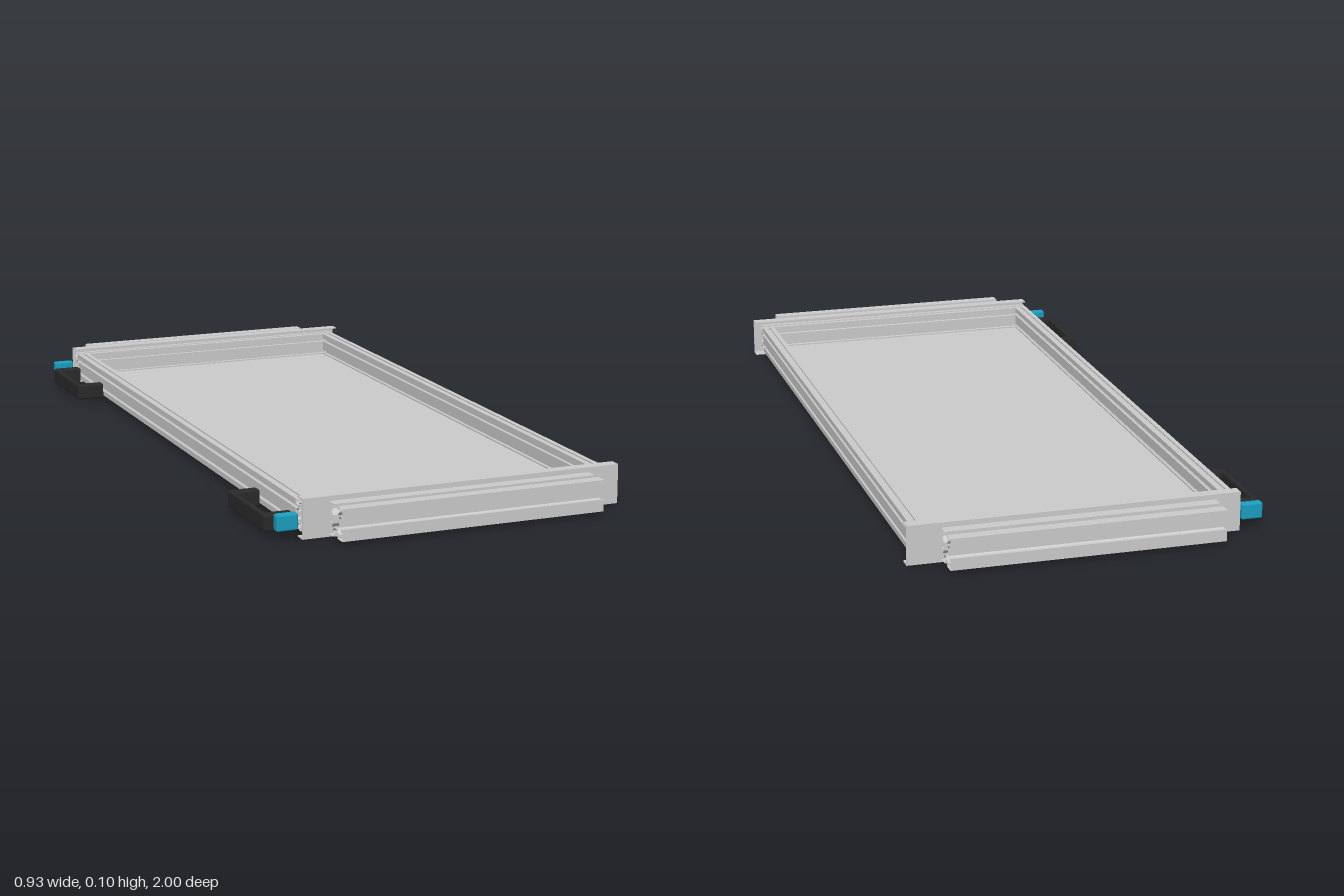
import * as THREE from 'three';
import { RoundedBoxGeometry } from 'three/addons/geometries/RoundedBoxGeometry.js';

const grey = new THREE.MeshStandardMaterial({ color: 0xcccccc, side: THREE.DoubleSide, flatShading: true });
const black = new THREE.MeshStandardMaterial({ color: 0x2a2a2a });
const blue = new THREE.MeshStandardMaterial({ color: 0x1a9fc0 });

// Half outline of one T-slot as [offset along side, depth], for a unit cell of 1
const SLOT = [[-0.125, 0], [-0.125, 0.1], [-0.25, 0.1], [-0.25, 0.16], [-0.13, 0.27]];

// Slotted profile of nx by ny square cells, centred on the origin
function slotProfile(cellX, cellY, nx, ny) {
  const w = cellX * nx, h = cellY * ny, pts = [];
  const sides = [
    { s: [-w / 2, -h / 2], d: [1, 0], n: nx, c: cellX },
    { s: [w / 2, -h / 2], d: [0, 1], n: ny, c: cellY },
    { s: [w / 2, h / 2], d: [-1, 0], n: nx, c: cellX },
    { s: [-w / 2, h / 2], d: [0, -1], n: ny, c: cellY },
  ];
  const outline = [...SLOT, ...SLOT.map(([u, v]) => [-u, v]).reverse()];
  for (const { s, d, n, c } of sides) {
    pts.push(new THREE.Vector2(...s));
    for (let i = 0; i < n; i++) {
      for (const [u, v] of outline) {
        const along = (i + 0.5 + u) * c, deep = v * c;
        pts.push(new THREE.Vector2(s[0] + d[0] * along - d[1] * deep, s[1] + d[1] * along + d[0] * deep));
      }
    }
  }
  return new THREE.Shape(pts);
}

// Extruded rail along z, with open ends
function openRail(shape, length) {
  const full = new THREE.ExtrudeGeometry(shape, { depth: length, bevelEnabled: false });
  const walls = full.groups[1], g = new THREE.BufferGeometry();
  for (const name of ['position', 'normal']) {
    const a = full.attributes[name].array;
    g.setAttribute(name, new THREE.BufferAttribute(a.slice(walls.start * 3, (walls.start + walls.count) * 3), 3));
  }
  return g.translate(0, 0, -length / 2);
}

function add(parent, name, geometry, material, x, y, z) {
  const m = new THREE.Mesh(geometry, material);
  m.name = name;
  m.position.set(x, y, z);
  parent.add(m);
  return m;
}

export function createModel() {
  const model = new THREE.Group();
  model.name = 'slidingTray';
  const box = (w, h, d) => new THREE.BoxGeometry(w, h, d);

  // Tray floor
  add(model, 'floorPanel', box(0.775, 0.008, 1.74), grey, 0.029, 0.022, 0);

  // Frame rails
  const frame = slotProfile(0.034, 0.0365, 1, 2);
  const sideRail = openRail(frame, 1.73);
  add(model, 'leftRail', sideRail, grey, 0.426, 0.0525, 0);
  add(model, 'rightRail', sideRail, grey, -0.368, 0.0525, 0);

  const endRail = openRail(frame, 0.828).rotateY(Math.PI / 2);
  const outerRail = openRail(slotProfile(0.08, 0.08, 1, 1), 0.697).rotateY(Math.PI / 2);

  for (const s of [1, -1]) {
    const end = new THREE.Group();
    end.name = s > 0 ? 'frontEnd' : 'backEnd';
    model.add(end);
    add(end, 'endRail', endRail, grey, 0.029, 0.0525, s * 0.881);
    add(end, 'outerRail', outerRail, grey, 0.028, 0.05, s * 0.96);

    // C-channel wrapped around the end rail
    add(end, 'channelWeb', box(0.85, 0.101, 0.003), grey, 0.037, 0.0505, s * 0.9135);
    for (const y of [0.0015, 0.0995]) {
      add(end, 'channelFlange', box(0.85, 0.003, 0.027), grey, 0.037, y, s * 0.8985);
    }

    // Stop block at the channel end
    add(end, 'stopBlock', new RoundedBoxGeometry(0.056, 0.042, 0.024, 1, 0.005), blue, -0.423, 0.044, s * 0.897);

    // Pull handle
    const handle = new THREE.Group();
    handle.name = 'handle';
    end.add(handle);
    add(handle, 'grip', new RoundedBoxGeometry(0.017, 0.042, 0.25, 1, 0.006), black, -0.456, 0.033, s * 0.737);
    for (const z of [0.627, 0.847]) {
      add(handle, 'handleArm', new RoundedBoxGeometry(0.075, 0.042, 0.03, 1, 0.005), black, -0.426, 0.033, s * z);
    }
  }
  return model;
}
